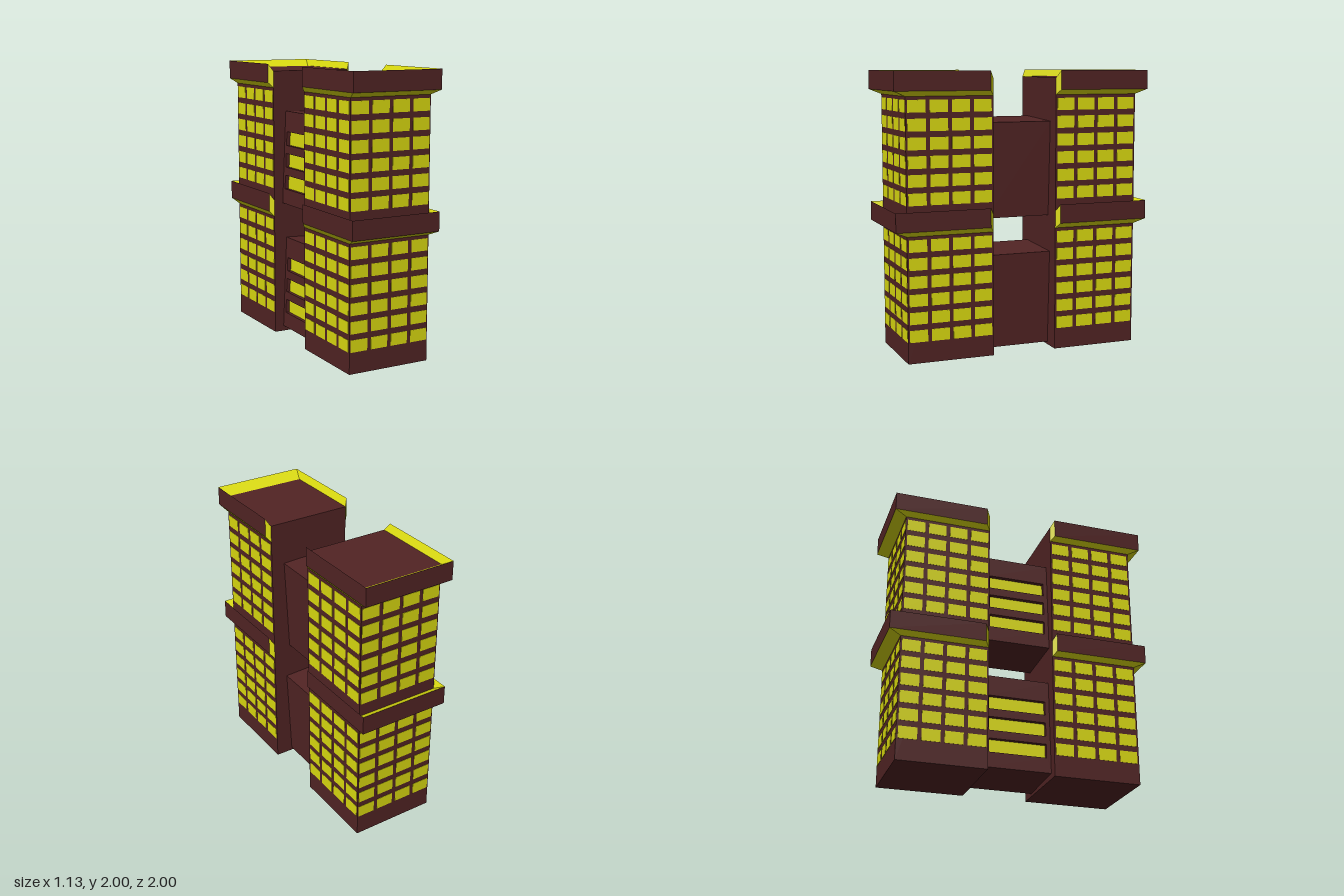
import * as THREE from 'three';

const brown = new THREE.MeshStandardMaterial({ color: 0x522424 });
brown.name = 'brown wall';
const yellow = new THREE.MeshStandardMaterial({ color: 0xdcdc10 });
yellow.name = 'yellow trim';

// Tower footprint: half width, inner face and outer face
const W = 0.308, IN = 0.235, OUT = 0.86;

function add(parent, name, geometry, material, x = 0, y = 0, z = 0) {
  const mesh = new THREE.Mesh(geometry, material);
  mesh.name = name;
  mesh.position.set(x, y, z);
  parent.add(mesh);
  return mesh;
}

function box(parent, name, material, w, h, d, x, y, z) {
  return add(parent, name, new THREE.BoxGeometry(w, h, d), material, x, y, z);
}

function quads(list) {
  const pos = [];
  for (const [a, b, c, d] of list) for (const p of [a, b, c, a, c, d]) pos.push(...p);
  const g = new THREE.BufferGeometry();
  g.setAttribute('position', new THREE.Float32BufferAttribute(pos, 3));
  g.computeVertexNormals();
  return g;
}

// Flared band around three sides of a tower, with sloping yellow lips
function band(y) {
  const group = new THREE.Group();
  group.name = 'band';
  const core = [[-W, IN], [-W, OUT], [W, OUT], [W, IN]];
  const outer = [[-0.336, 0.263], [-0.336, 0.944], [0.336, 0.944], [0.336, 0.263]];
  const at = (path, h) => path.map(([x, z]) => [x, y + h, z]);
  const rows = [at(core, 0), at(outer, 0.035), at(outer, 0.17), at(core, 0.12)];
  const wall = [], lips = [];
  for (let r = 0; r < 3; r++)
    for (let i = 0; i < 3; i++)
      (r === 1 ? wall : lips).push([rows[r][i], rows[r][i + 1], rows[r + 1][i + 1], rows[r + 1][i]]);
  lips.push(rows.map(r => r[0]), rows.map(r => r[3]).reverse());
  add(group, 'bandWall', quads(wall), brown);
  add(group, 'bandLips', quads(lips), yellow);
  return group;
}

// Grid of window plates lying in the xy plane, facing +z
function windowGrid() {
  const group = new THREE.Group();
  group.name = 'windows';
  for (const base of [0.15, 1.095])
    for (let r = 0; r < 6; r++)
      for (let c = 0; c < 4; c++)
        box(group, 'window', yellow, 0.129, 0.085, 0.004,
          (c - 1.5) * 0.157, base + r * 0.1255 + 0.0425, 0);
  return group;
}

function tower() {
  const group = new THREE.Group();
  group.name = 'tower';
  const mid = (IN + OUT) / 2;
  box(group, 'towerCore', brown, W * 2, 1.95, OUT - IN, 0, 0.975, mid);
  group.add(band(0.885), band(1.83));
  // Windows on the outer end and both flanks
  const front = windowGrid();
  front.position.z = OUT;
  group.add(front);
  for (const s of [-1, 1]) {
    const side = windowGrid();
    side.position.set(s * W, 0, mid);
    side.rotation.y = s * Math.PI / 2;
    group.add(side);
  }
  return group;
}

// Slightly tilted link block with three recessed strip windows on one side
function connector(y) {
  const group = new THREE.Group();
  group.name = 'connector';
  const len = 0.48, h = 0.68, recess = 0.03;
  box(group, 'connectorBody', brown, 0.42 - recess, h, len, recess / 2, 0, 0);
  const frame = new THREE.Shape([[-len / 2, -h / 2], [len / 2, -h / 2], [len / 2, h / 2], [-len / 2, h / 2]]
    .map(p => new THREE.Vector2(...p)));
  for (let i = 0; i < 3; i++) {
    const cy = 0.14 - i * 0.16, a = 0.205, b = 0.05;
    frame.holes.push(new THREE.Path([[-a, cy - b], [-a, cy + b], [a, cy + b], [a, cy - b]]
      .map(p => new THREE.Vector2(...p))));
    box(group, 'stripWindow', yellow, 0.004, b * 2, a * 2, -0.21 + recess, cy, 0);
  }
  const mesh = add(group, 'connectorFrame',
    new THREE.ExtrudeGeometry(frame, { depth: recess, bevelEnabled: false }), brown, -0.21 + recess, 0, 0);
  mesh.rotation.y = -Math.PI / 2;
  group.position.set(-0.015, y, 0);
  group.rotation.z = -0.045;
  return group;
}

export function createModel() {
  const model = new THREE.Group();
  model.name = 'twinTowers';
  const building = new THREE.Group();
  building.name = 'building';
  building.rotation.y = -0.256;
  const frontTower = tower(), rearTower = tower();
  frontTower.name = 'frontTower';
  rearTower.name = 'rearTower';
  rearTower.rotation.y = Math.PI;
  building.add(frontTower, rearTower, connector(0.37), connector(1.31));
  model.add(building);
  return model;
}
